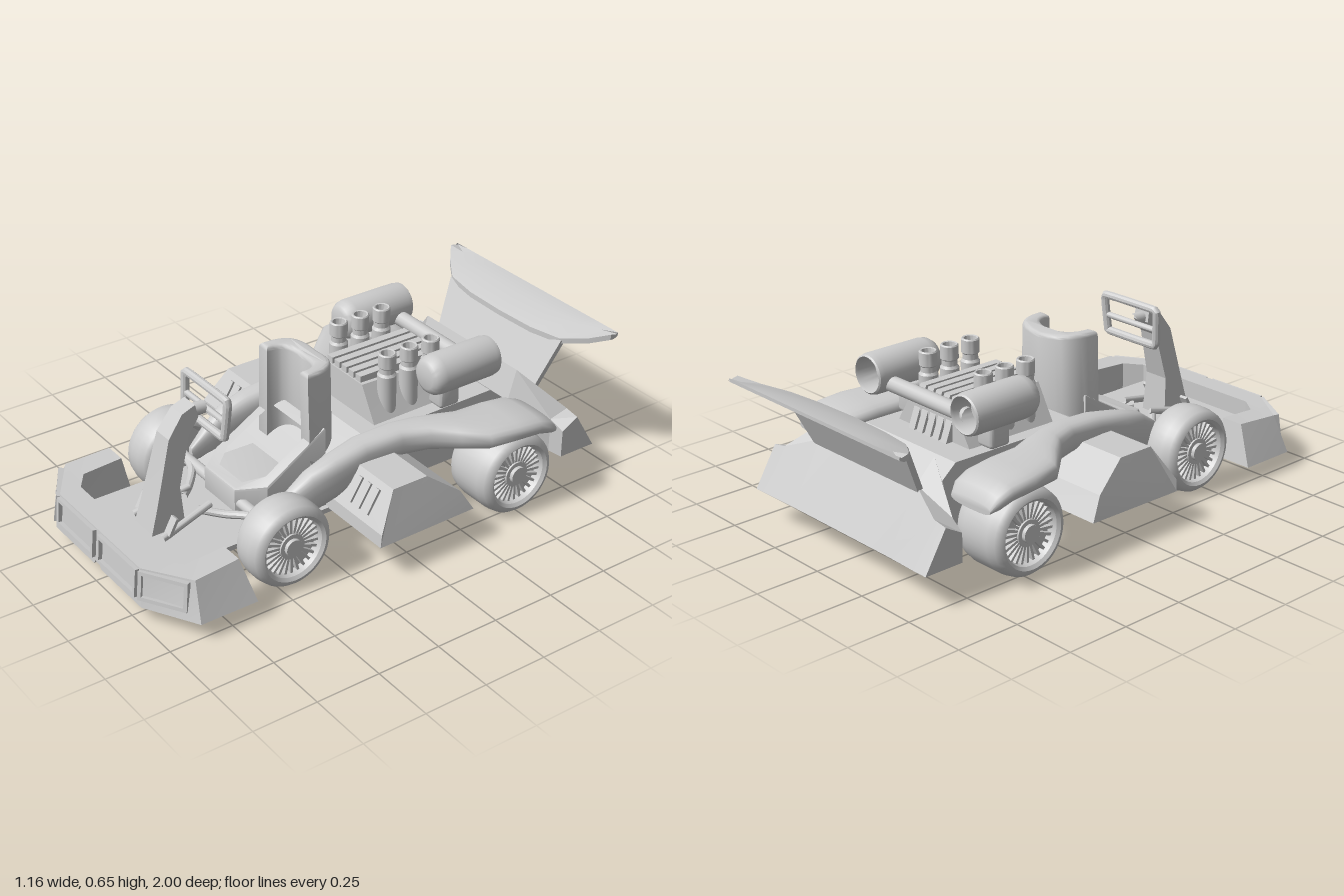
import * as THREE from 'three';
import { mergeGeometries, toCreasedNormals } from 'three/addons/utils/BufferGeometryUtils.js';
import { RoundedBoxGeometry } from 'three/addons/geometries/RoundedBoxGeometry.js';

const mat = new THREE.MeshStandardMaterial({ color: 0xcccccc });
const V = (x, y, z) => new THREE.Vector3(x, y, z);

// swap two corners of every triangle
function flip(g) {
  for (const a of Object.values(g.attributes)) {
    const n = a.itemSize, d = a.array;
    for (let i = 0; i < a.count; i += 3)
      for (let k = 0; k < n; k++) {
        const p = (i + 1) * n + k, q = (i + 2) * n + k;
        [d[p], d[q]] = [d[q], d[p]];
      }
  }
  return g;
}
// plain triangles facing outward, with creased normals
function finish(geo, crease = 0.6) {
  const g = geo.index ? geo.toNonIndexed() : geo.clone();
  g.deleteAttribute('uv');
  const p = g.attributes.position, a = V(), b = V(), c = V();
  let vol = 0;
  for (let i = 0; i < p.count; i += 3) {
    a.fromBufferAttribute(p, i); b.fromBufferAttribute(p, i + 1); c.fromBufferAttribute(p, i + 2);
    vol += a.dot(b.cross(c));
  }
  if (vol < 0) flip(g);
  return toCreasedNormals(g, crease);
}
const merge = list => mergeGeometries(list.map(g => finish(g)));
const box = (w, h, d, x, y, z) => new THREE.BoxGeometry(w, h, d).translate(x, y, z);
const rod = (a, b, r) => new THREE.TubeGeometry(new THREE.LineCurve3(V(...a), V(...b)), 1, r, 14);
const shapeOf = pts => new THREE.Shape(pts.map(p => new THREE.Vector2(...p)));
// outline of [z, y] points, extruded across x
const sideExtrude = (pts, w) => new THREE.ExtrudeGeometry(shapeOf(pts), { depth: w, bevelEnabled: false })
  .translate(0, 0, -w / 2).rotateY(-Math.PI / 2);
// outline of [x, z] points, extruded upward
const planExtrude = (pts, y0, y1, bevel = 0) => new THREE.ExtrudeGeometry(shapeOf(pts.map(([x, z]) => [x, -z])),
  { depth: y1 - y0 - 2 * bevel, bevelEnabled: bevel > 0, bevelSize: bevel, bevelThickness: bevel, bevelOffset: -bevel, bevelSegments: 3 })
  .rotateX(-Math.PI / 2).translate(0, y0 + bevel, 0);
// skin over rings of [x, y, z] points, capped at both ends
function loft(rings) {
  const n = rings[0].length, idx = [], last = (rings.length - 1) * n;
  for (let r = 0; r < rings.length - 1; r++)
    for (let i = 0; i < n; i++) {
      const a = r * n + i, b = r * n + (i + 1) % n;
      idx.push(a, b, a + n, b, b + n, a + n);
    }
  for (let i = 1; i < n - 1; i++) idx.push(0, i + 1, i, last, last + i, last + i + 1);
  const g = new THREE.BufferGeometry();
  g.setAttribute('position', new THREE.Float32BufferAttribute(rings.flat(2), 3));
  g.setIndex(idx);
  return g;
}
// mirror a half list of rings (listed from +x to the middle) to -x
const bothSides = half => [...half, ...half.slice().reverse().filter(r => Math.abs(r[0][0]) > 1e-6)
  .map(r => r.map(([x, y, z]) => [-x, y, z]))];

function wheel(w) {
  const h = w / 2, s = 0.035;
  const tyre = new THREE.LatheGeometry([[.118, -h + .01], [.13, -h], [.145, -h + .005], [.158, -h + s * .6], [.165, -h + s * 1.6],
    [.165, h - s * 1.6], [.158, h - s * .6], [.145, h - .005], [.13, h], [.118, h - .01], [.112, h - .04],
    [.112, -h + .04], [.118, -h + .01]].map(p => new THREE.Vector2(...p)), 40).rotateZ(-Math.PI / 2);
  const cyl = (r, d, x) => new THREE.CylinderGeometry(r, r, d, 28).rotateZ(-Math.PI / 2).translate(x, 0, 0);
  const parts = [cyl(.115, w - .09, 0), cyl(.05, .03, h - .035), cyl(.034, .04, h - .025), cyl(.045, .03, -h + .04)];
  for (let i = 0; i < 26; i++)
    parts.push(box(.018, .068, .01, h - .036, .082, 0).rotateX(i * Math.PI / 13));
  return merge([tyre, ...parts]);
}

export function createModel() {
  const model = new THREE.Group();
  const put = (name, geo, crease) => {
    const m = new THREE.Mesh(finish(geo, crease), mat);
    m.name = name;
    model.add(m);
  };
  const pair = (name, geo, crease) => {
    put('left' + name, geo, crease);
    put('right' + name, geo.clone().scale(-1, 1, 1), crease);
  };

  // wheels and axles
  pair('FrontWheel', wheel(.155).translate(.372, .17, .45));
  pair('RearWheel', wheel(.23).translate(.43, .17, -.49));
  put('frontAxle', rod([-.33, .18, .45], [.33, .18, .45], .022));
  put('rearAxle', rod([-.4, .17, -.49], [.4, .17, -.49], .03));
  pair('SteeringArm', new THREE.TubeGeometry(new THREE.CatmullRomCurve3(
    [V(.32, .19, .45), V(.2, .18, .47), V(.12, .17, .53), V(.05, .18, .6)]), 14, .015, 10));

  // hull and floor
  put('floor', box(.54, .02, .9, 0, .135, .43));
  put('hull', sideExtrude([[.44, .13], [.44, .16], [.3, .2], [.14, .29], [0, .365], [-.58, .37], [-.64, .32], [-.6, .13]], .5), .4);

  // swept side fairings that widen into rear fenders: centre x, y, z, half width, half height
  const fairing = [[.27, .19, .43, .012, .03], [.275, .22, .36, .03, .06], [.28, .255, .28, .045, .08], [.28, .285, .18, .055, .08],
    [.27, .32, .05, .06, .065], [.28, .34, -.1, .06, .055], [.31, .345, -.2, .07, .052], [.36, .35, -.28, .095, .048],
    [.41, .352, -.36, .118, .043], [.422, .352, -.48, .127, .04], [.427, .345, -.58, .125, .038], [.43, .325, -.64, .118, .035], [.43, .305, -.67, .1, .02]];
  pair('Fairing', loft(fairing.map(([x, y, z, w, h]) => Array.from({ length: 20 }, (_, i) => {
    const c = Math.cos(i * Math.PI / 10), s = Math.sin(i * Math.PI / 10);
    return [x + w * Math.sign(c) * Math.abs(c) ** .7, y + h * Math.sign(s) * Math.abs(s) ** .7, z];
  }))), .9);

  // side pods with vents on the sloping front
  const podSide = [[.18, .14, .58], [.175, .19, .58], [.09, .325, .53], [-.06, .325, .53], [-.19, .23, .56], [-.24, .145, .58]];
  pair('SidePod', loft([podSide.map(([z, y]) => [.24, y, z]), podSide.map(([z, y, x]) => [x, y, z])]), .2);
  pair('PodVents', merge([.37, .42, .47].map(x => box(.02, .1, .012, 0, 0, 0).rotateX(-.56).translate(x, .26, .135))));

  // front bumper
  put('frontBumper', loft(bothSides([
    [[.51, .07, .65], [.44, .22, .68], [.35, .22, .68], [.34, .07, .65]],
    [[.51, .07, .88], [.45, .21, .86], [.35, .21, .84], [.35, .07, .84]],
    [[.3, .063, .99], [.28, .21, .975], [.28, .21, .89], [.28, .063, .89]],
    [[.025, .063, .99], [.025, .21, .975], [.025, .21, .89], [.025, .063, .89]],
    [[0, .1, .988], [0, .21, .975], [0, .21, .89], [0, .1, .89]]])), .2);
  const frame = w => {
    const rect = (c, a, b) => [[-a, -b], [a, -b], [a, b], [-a, b]].map(p => new THREE.Vector2(...p));
    const s = new THREE.Shape(rect(0, w / 2, .055));
    s.holes.push(new THREE.Path(rect(0, w / 2 - .014, .041)));
    return new THREE.ExtrudeGeometry(s, { depth: .022, bevelEnabled: false }).translate(0, 0, -.01);
  };
  pair('FrontPanelFrame', frame(.26).rotateX(-.1).translate(.145, .15, .985));
  pair('CornerPanelFrame', frame(.19).rotateX(-.15).rotateY(.54).translate(.366, .15, .936));

  // steering column, braces, pedals and wheel
  const column = sideExtrude([[.8, .14], [.77, .24], [.7, .5], [.64, .58], [.585, .6], [.575, .55], [.62, .49], [.67, .3], [.66, .14]], .12);
  const cp = column.attributes.position;
  for (let i = 0; i < cp.count; i++) cp.setX(i, cp.getX(i) * (1 - .9 * (cp.getY(i) - .14)));
  put('steeringColumn', column, .3);
  pair('ColumnBrace', rod([.1, .15, .78], [.07, .2, .56], .014));
  pair('Pedal', box(.035, .07, .012, 0, 0, 0).rotateX(-.5).translate(.1, .19, .74));
  const ring = new THREE.CatmullRomCurve3([[-.115, .49], [.115, .49], [.13, .505], [.138, .62], [.122, .637], [-.122, .637], [-.138, .62], [-.13, .505]]
    .map(([x, y]) => V(x, y, .522 - (y - .56) * .08)), true, 'catmullrom', .25);
  put('steeringWheel', merge([new THREE.TubeGeometry(ring, 80, .016, 10, true),
    rod([-.13, .555, .522], [.13, .555, .522], .012), rod([0, .56, .53], [0, .56, .6], .025)]));

  // bucket seat: hexagonal rim rising toward the back, cushion, wrapped backrest
  const hex = k => [[.165, .12], [.17, .38], [.1, .475], [-.1, .475], [-.17, .38], [-.165, .12]].map(([x, z]) => [x * k, .28 + (z - .28) * k]);
  const rimShape = shapeOf(hex(1).map(([x, z]) => [x, -z]));
  rimShape.holes.push(new THREE.Path(hex(.8).map(([x, z]) => new THREE.Vector2(x, -z))));
  const rim = new THREE.ExtrudeGeometry(rimShape, { depth: .1, bevelEnabled: true, bevelSize: .01, bevelThickness: .012, bevelOffset: -.01, bevelSegments: 2 })
    .rotateX(-Math.PI / 2).translate(0, .13, 0);
  const rp = rim.attributes.position;
  for (let i = 0; i < rp.count; i++)
    if (rp.getY(i) > .2) rp.setY(i, rp.getY(i) + .6 * Math.max(0, .4 - rp.getZ(i)));
  put('seatRim', rim);
  put('seatCushion', planExtrude(hex(.86), .11, .235, .01));
  const arc = (rx, rz, back) => Array.from({ length: 17 }, (_, i) => {
    const t = Math.PI * (back ? 16 - i : i) / 16, c = Math.cos(t), s = Math.sin(t);
    return [rx * Math.sign(c) * Math.abs(c) ** .7, .19 - rz * s ** .7];
  });
  const back = planExtrude([...arc(.17, .155), ...arc(.115, .085, true)], .18, .64, .016);
  const bp = back.attributes.position;
  for (let i = 0; i < bp.count; i++) {
    const y = bp.getY(i), x = bp.getX(i);
    bp.setX(i, x * (1 - .25 * Math.max(0, y - .25)));
    if (y > .5) bp.setY(i, y - .012 * (1 - Math.min(1, Math.abs(x) / .14)));
  }
  put('seatBack', back);

  // engine with fins, intake stacks and canisters
  put('engineBlock', loft([[-.075, .5], [-.47, .49]].map(([z, y]) => [[-.2, .36, z], [-.12, y, z], [.12, y, z], [.2, .36, z]])), .2);
  put('engineFins', merge([-.088, -.044, 0, .044, .088].map(x =>
    sideExtrude([[-.08, .37], [-.08, .525], [-.44, .525], [-.5, .37]], .032).translate(x, 0, 0))));
  const stack = new THREE.LatheGeometry([[0, .36], [.036, .36], [.036, .53], [.029, .54], [.029, .56], [.034, .565], [.034, .615], [.03, .62],
    [.024, .618], [.02, .58], [0, .58]].map(p => new THREE.Vector2(...p)), 24);
  [-.165, -.265, -.365].forEach((z, i) => pair('IntakeStack' + (i + 1), stack.clone().translate(.15, 0, z)));
  const canister = new THREE.LatheGeometry([[0, -.22], [.06, -.22], [.064, -.295], [.068, -.305], [.074, -.3], [.078, -.28], [.078, -.05],
    [.074, -.025], [.062, -.008], [.045, 0], [0, 0]].map(p => new THREE.Vector2(...p)), 36).rotateX(Math.PI / 2).translate(.265, .54, -.25);
  pair('Canister', canister);
  pair('CanisterBracket', new RoundedBoxGeometry(.08, .12, .09, 2, .015).translate(.22, .43, -.38));
  put('canisterPipe', rod([-.22, .51, -.495], [.22, .51, -.495], .03));

  // rear bumper: ring points [z, y] at widths from the tip to the middle
  const rear = [[.48, [-.75, .13], [-.75, .24], [-.82, .28], [-.91, .13]], [.42, [-.74, .13], [-.74, .27], [-.82, .29], [-.91, .13]],
    [.27, [-.61, .17], [-.69, .43], [-.77, .35], [-.9, .125]], [0, [-.61, .17], [-.69, .43], [-.77, .35], [-.9, .125]]];
  put('rearBumper', loft(bothSides(rear.map(([x, ...q]) => q.map(([z, y]) => [x, y, z])))), .2);

  // wing and its broad support
  put('wingSupport', loft([[.29, .33, -.755], [.33, .53, -.85]].map(([x, y, z]) =>
    [[-x, y, z], [x, y, z], [x, y, z - .025], [-x, y, z - .025]])), .2);
  const wing = [[.475, .562, -.965], [.41, .535, -.91], [.32, .515, -.85], [.18, .51, -.828], [0, .51, -.822]];
  put('wing', loft(bothSides(wing.map(([x, y, z]) =>
    [[x, y, z], [x, y + .022, z], [x, .575, (z - 1) / 2 - .02], [x, .583, -1], [x, .57, -1], [x, (y + .56) / 2, (z - 1) / 2]]))), .4);

  return model;
}
